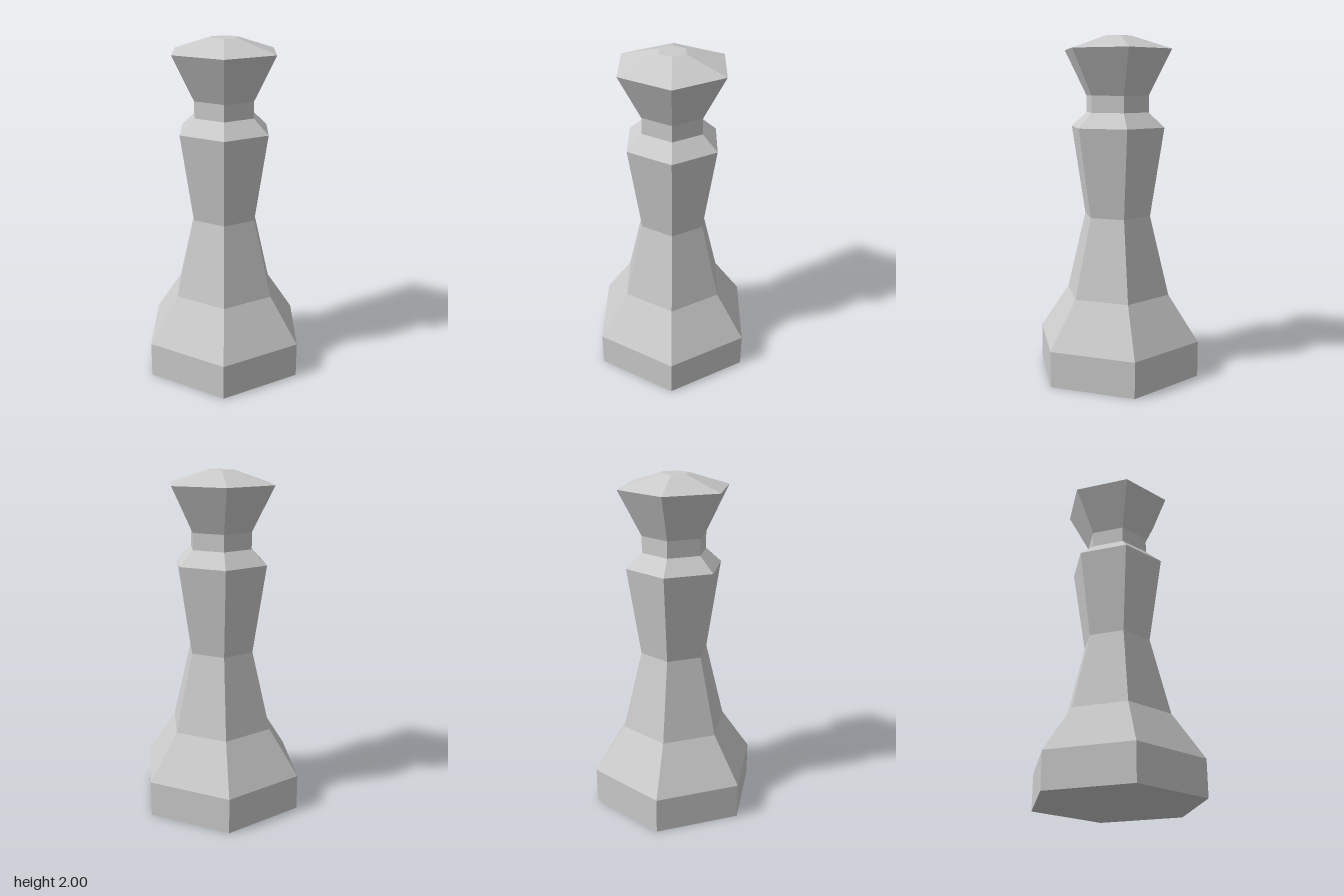
import * as THREE from 'three';

const SIDES = 6;

// Hexagonal turned section with corners on the x axis; profile is [radius, y] from bottom to top
function turned(name, profile, material) {
  const points = profile.map(([r, y]) => new THREE.Vector2(r, y));
  const mesh = new THREE.Mesh(new THREE.LatheGeometry(points, SIDES, Math.PI / 2), material);
  mesh.name = name;
  return mesh;
}

export function createModel() {
  const group = new THREE.Group();
  group.name = 'chessPiece';
  const material = new THREE.MeshStandardMaterial({ color: 0xcccccc, flatShading: true });

  group.add(
    // Plinth with closed underside and sloping shoulder
    turned('base', [[0, 0], [0.507, 0], [0.507, 0.212], [0.322, 0.485]], material),
    // Waisted stem
    turned('stem', [[0.322, 0.485], [0.205, 0.955], [0.288, 1.477]], material),
    // Sloping collar and narrow neck
    turned('collar', [[0.288, 1.477], [0.193, 1.563], [0.193, 1.66]], material),
    // Flared head with a low, flat-topped cap
    turned('head', [[0.193, 1.66], [0.329, 1.923], [0.084, 2], [0, 2]], material),
  );
  return group;
}
